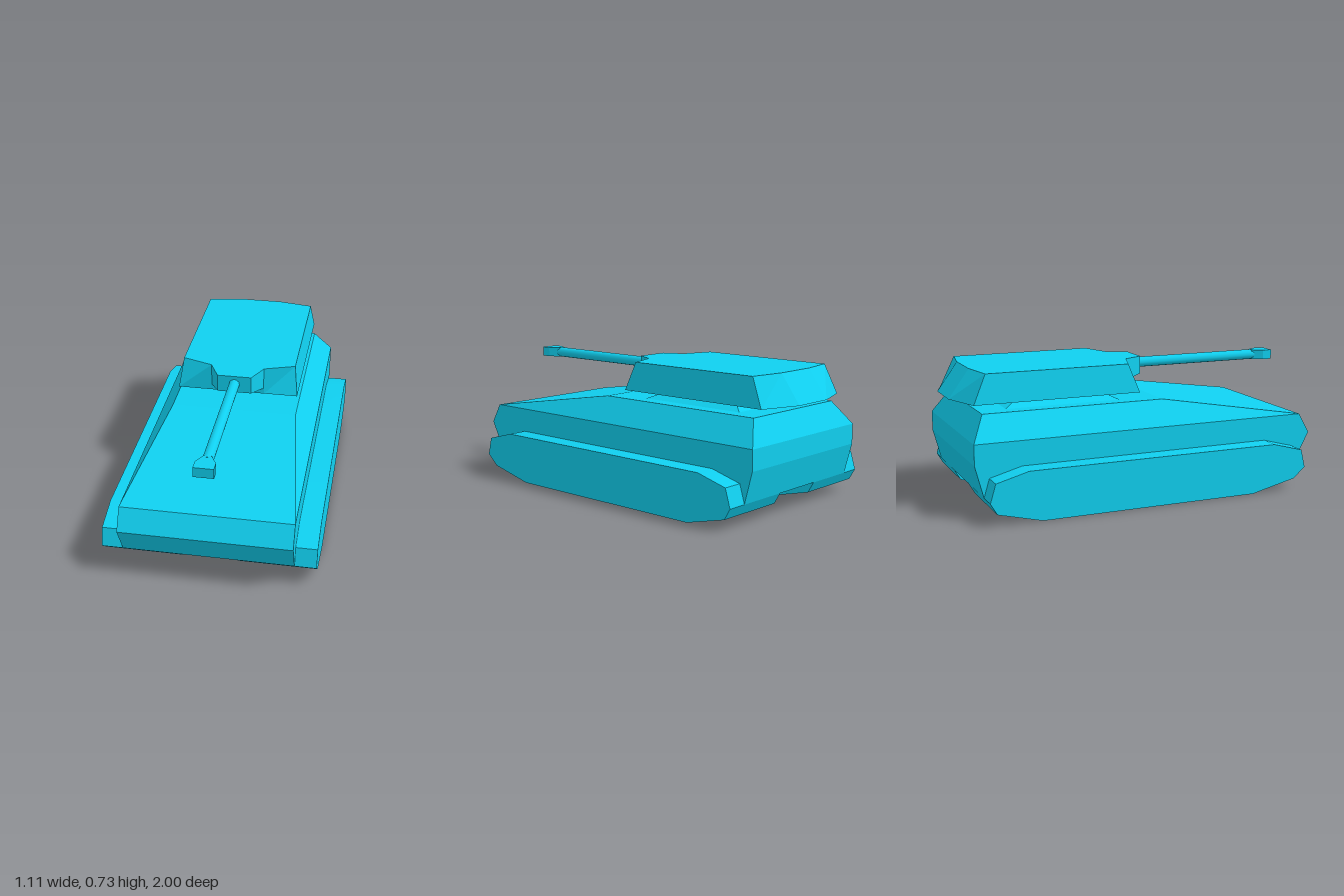
import * as THREE from 'three';
import { toCreasedNormals } from 'three/addons/utils/BufferGeometryUtils.js';

const paint = new THREE.MeshStandardMaterial({ color: 0x10d0f0 });

// Stacks mirrored horizontal sections from bottom to top.
// Each section lists its +x half as [x, y, z], running front to back.
function stack(name, halves) {
  const rings = halves.map(h => [...h, ...h.map(([x, y, z]) => [-x, y, z]).reverse()]);
  const n = rings[0].length;
  const pos = [];
  const tri = (a, b, c) => pos.push(...a, ...b, ...c);
  for (let r = 0; r + 1 < rings.length; r++) {
    for (let i = 0; i < n; i++) {
      const j = (i + 1) % n;
      const lo = rings[r], hi = rings[r + 1];
      tri(lo[i], lo[j], hi[j]);
      tri(lo[i], hi[j], hi[i]);
    }
  }
  const bottom = rings[0], top = rings[rings.length - 1];
  for (let i = 1; i < n - 1; i++) {
    tri(top[0], top[i], top[i + 1]);
    tri(bottom[0], bottom[i + 1], bottom[i]);
  }
  const geometry = new THREE.BufferGeometry();
  geometry.setAttribute('position', new THREE.Float32BufferAttribute(pos, 3));
  geometry.computeVertexNormals();
  return part(name, geometry);
}

function part(name, geometry) {
  const mesh = new THREE.Mesh(geometry, paint);
  mesh.name = name;
  return mesh;
}

// Section at one height
const level = (y, points) => points.map(([x, z]) => [x, y, z]);

// Track: side outline (z, y) extruded across its width
function track(name, side) {
  const outline = [
    [0.58, 0], [0.84, 0.06], [0.91, 0.12], [0.885, 0.22], [0.71, 0.267],
    [-0.71, 0.267], [-0.885, 0.22], [-0.915, 0.12], [-0.88, 0.06], [-0.64, 0],
  ].map(([z, y]) => new THREE.Vector2(-z, y));
  const width = 0.407;
  const g = new THREE.ExtrudeGeometry(new THREE.Shape(outline), { depth: width, bevelEnabled: false });
  g.translate(0, 0, -width / 2);
  g.rotateY(Math.PI / 2);
  const mesh = part(name, toCreasedNormals(g, 0.27));
  mesh.position.x = side * 0.3535;
  return mesh;
}

export function createModel() {
  const model = new THREE.Group();
  model.name = 'tank';

  // Hull with sloped front deck and tapered upper sides
  model.add(stack('hull', [
    level(0.12, [[0.445, 0.91], [0.445, -0.915]]),
    level(0.29, [[0.445, 1.0], [0.445, -0.96]]),
    level(0.4, [[0.445, 0.935], [0.445, -0.96]]),
    level(0.53, [[0.343, 0.125], [0.343, -0.885]]),
  ]));

  model.add(track('leftTrack', 1), track('rightTrack', -1));

  // Turret neck
  model.add(stack('turretBase', [
    level(0.53, [[0.265, -0.095], [0.265, -0.735]]),
    level(0.56, [[0.205, -0.16], [0.205, -0.67]]),
  ]));

  const turret = new THREE.Group();
  turret.name = 'turret';
  model.add(turret);

  // Turret shell: shallow underside, then sloped walls
  turret.add(stack('turretShell', [
    level(0.56, [[0.15, -0.16], [0.205, -0.16], [0.205, -0.67], [0.12, -0.67]]),
    level(0.575, [[0.15, -0.005], [0.335, -0.005], [0.335, -0.925], [0.12, -1.0]]),
    level(0.73, [[0.147, -0.007], [0.314, -0.065], [0.314, -0.855], [0.12, -0.888]]),
  ]));

  // Gun mantlet
  turret.add(stack('mantlet', [
    [[0.093, 0.633, 0.105], [0.147, 0.608, -0.007]],
    [[0.093, 0.73, 0.105], [0.147, 0.73, -0.007]],
  ]));

  // Gun barrel
  const barrel = new THREE.CylinderGeometry(0.029, 0.029, 0.8, 12);
  barrel.rotateX(Math.PI / 2);
  barrel.translate(0, 0.682, 0.48);
  turret.add(part('barrel', barrel));

  // Flared muzzle brake
  turret.add(stack('muzzleBrake', [
    level(0.655, [[0.052, 0.978], [0.052, 0.925], [0.02, 0.865]]),
    level(0.709, [[0.052, 0.978], [0.052, 0.925], [0.02, 0.865]]),
  ]));

  return model;
}
